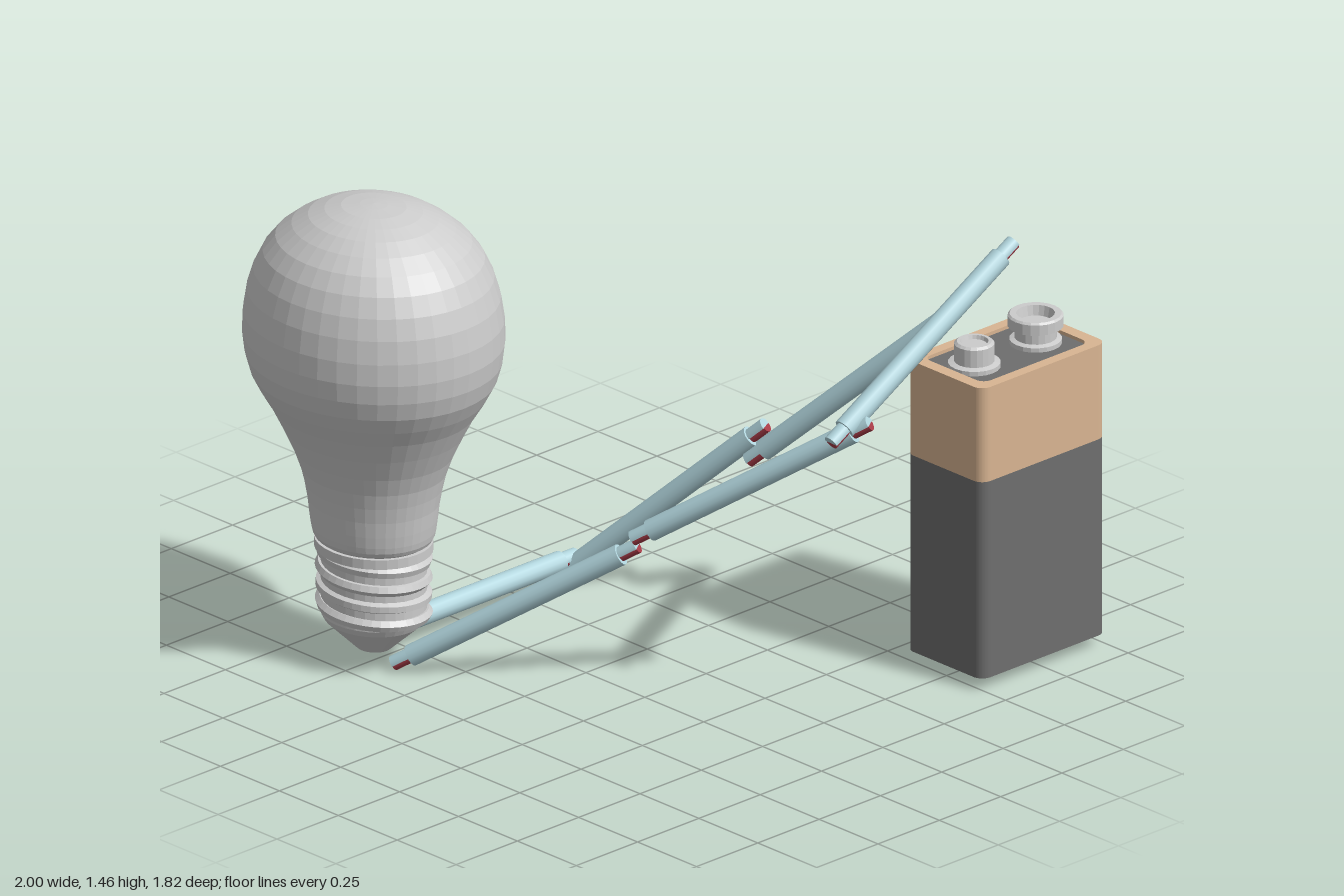
import * as THREE from 'three';

const mat = (color, extra = {}) => {
  const m = new THREE.MeshStandardMaterial({ color });
  return Object.assign(m, extra);
};
const grey = mat(0xcccccc, { side: THREE.DoubleSide, flatShading: true });
const dark = mat(0x6e6e6e);
const tan = mat(0xd9b592);
const blue = mat(0xb2d6de, { side: THREE.DoubleSide });
const red = mat(0xa83c48, { side: THREE.DoubleSide });

function add(parent, name, geometry, material) {
  const mesh = new THREE.Mesh(geometry, material);
  mesh.name = name;
  parent.add(mesh);
  return mesh;
}

const lathe = (pts, sides) =>
  new THREE.LatheGeometry(pts.map(([r, y]) => new THREE.Vector2(r, y)), sides);

// Spiral path for the screw thread
class Helix extends THREE.Curve {
  constructor(radius, y0, y1, turns) {
    super();
    Object.assign(this, { radius, y0, y1, turns });
  }
  getPoint(t, target = new THREE.Vector3()) {
    const a = t * this.turns * Math.PI * 2;
    return target.set(this.radius * Math.cos(a),
      this.y0 + (this.y1 - this.y0) * t, this.radius * Math.sin(a));
  }
}

function makeBulb() {
  const bulb = new THREE.Group();
  bulb.name = 'lightBulb';
  // Glass: a dome running smoothly into the narrow neck
  const dome = new THREE.SplineCurve([
    [0.145, 0.395], [0.168, 0.41], [0.178, 0.45], [0.19, 0.55], [0.217, 0.66],
    [0.283, 0.81], [0.347, 0.93], [0.37, 1.06], [0.352, 1.21], [0.296, 1.335],
    [0.2, 1.42], [0.1, 1.46], [0, 1.47],
  ].map(([r, y]) => new THREE.Vector2(r, y)));
  const profile = dome.getPoints(26).map((p) => [Math.max(p.x, 0), p.y]);
  add(bulb, 'glass', lathe(profile, 40), grey);
  // Screw base with collar and contact cone
  add(bulb, 'screwBase', lathe([
    [0, 0.05], [0.05, 0.05], [0.06, 0.06], [0.14, 0.14], [0.15, 0.16],
    [0.15, 0.37], [0.168, 0.37], [0.168, 0.4], [0, 0.4],
  ], 32), grey);
  add(bulb, 'thread', new THREE.TubeGeometry(
    new Helix(0.147, 0.16, 0.365, 3.6), 140, 0.019, 6), grey);
  bulb.position.set(-0.63, 0, -0.505);
  bulb.scale.z = 1.1;
  return bulb;
}

function roundedRect(Type, w, d, r) {
  const s = new Type();
  const x = w / 2 - r, y = d / 2 - r;
  s.absarc(x, y, r, 0, Math.PI / 2);
  s.absarc(-x, y, r, Math.PI / 2, Math.PI);
  s.absarc(-x, -y, r, Math.PI, Math.PI * 1.5);
  s.absarc(x, -y, r, Math.PI * 1.5, Math.PI * 2);
  s.closePath();
  return s;
}

// Upright prism from y0 to y1
function prism(shape, y0, y1) {
  return new THREE.ExtrudeGeometry(shape, { depth: y1 - y0, bevelEnabled: false, curveSegments: 6 })
    .rotateX(-Math.PI / 2).translate(0, y0, 0);
}

function makeBattery() {
  const battery = new THREE.Group();
  battery.name = 'battery';
  const outline = () => roundedRect(THREE.Shape, 0.51, 0.325, 0.035);
  add(battery, 'lowerBody', prism(outline(), 0.045, 0.675), dark);
  const band = outline();
  band.holes.push(roundedRect(THREE.Path, 0.43, 0.255, 0.03));
  add(battery, 'upperBand', prism(band, 0.675, 0.977), tan);
  add(battery, 'topPlate', prism(roundedRect(THREE.Shape, 0.43, 0.255, 0.03), 0.675, 0.966), dark);
  // Stud and socket terminals
  const stud = add(battery, 'studTerminal', lathe([
    [0.078, 0.96], [0.078, 0.98], [0.06, 0.985], [0.06, 1.04], [0.052, 1.047],
    [0.042, 1.047], [0.038, 1.035], [0, 1.035],
  ], 20), grey);
  stud.position.x = -0.13;
  const socket = add(battery, 'socketTerminal', lathe([
    [0.078, 0.96], [0.078, 0.98], [0.063, 0.985], [0.063, 1.018], [0.083, 1.022],
    [0.083, 1.055], [0.077, 1.061], [0.057, 1.061], [0.05, 1.03], [0, 1.03],
  ], 20), grey);
  socket.position.x = 0.12;
  battery.position.set(0.745, 0, 0.748);
  return battery;
}

// One straight wire piece, with a stepped half-sleeve and red core at each end
function makeWire(name, from, to) {
  const wire = new THREE.Group();
  wire.name = name;
  const a = new THREE.Vector3(...from), b = new THREE.Vector3(...to);
  const length = a.distanceTo(b), tip = 0.06;
  add(wire, 'insulation',
    new THREE.CylinderGeometry(0.033, 0.033, length - 2 * tip, 14).rotateZ(-Math.PI / 2), blue);
  for (const end of [-1, 1]) {
    const x = end * (length / 2 - tip / 2);
    const sleeve = add(wire, 'sleeve', new THREE.CylinderGeometry(
      0.025, 0.025, tip, 12, 1, false, 0, Math.PI).rotateZ(Math.PI / 2), blue);
    sleeve.position.x = x;
    const core = add(wire, 'core', new THREE.CylinderGeometry(
      0.021, 0.021, tip, 10, 1, false, Math.PI, Math.PI).rotateZ(Math.PI / 2), red);
    core.position.x = x;
  }
  // Local x runs along the wire, local y stays as upright as possible
  const along = b.clone().sub(a).normalize();
  const side = along.clone().cross(new THREE.Vector3(0, 1, 0)).normalize();
  const up = side.clone().cross(along);
  wire.quaternion.setFromRotationMatrix(new THREE.Matrix4().makeBasis(along, up, side));
  wire.position.copy(a).add(b).multiplyScalar(0.5);
  return wire;
}

export function createModel() {
  const model = new THREE.Group();
  model.name = 'bulbAndBatteryCircuit';
  model.add(makeBulb(), makeBattery());
  // Two chains of three wire pieces
  const wires = {
    frontWireLower: [[-0.64, 0.025, -0.41], [-0.23, 0.47, 0.2]],
    frontWireMiddle: [[-0.25, 0.5, 0.2], [0.14, 0.94, 0.8]],
    frontWireUpper: [[0.03, 0.895, 0.75], [0.75, 1.33, 0.775]],
    backWireLower: [[-0.65, 0.083, -0.515], [0.2, 0.083, -0.515]],
    backWireMiddle: [[0.165, 0.025, -0.535], [0.465, 0.59, 0.02]],
    backWireUpper: [[0.41, 0.49, 0.005], [0.71, 1.055, 0.57]],
  };
  for (const [name, [from, to]] of Object.entries(wires)) model.add(makeWire(name, from, to));
  return model;
}
